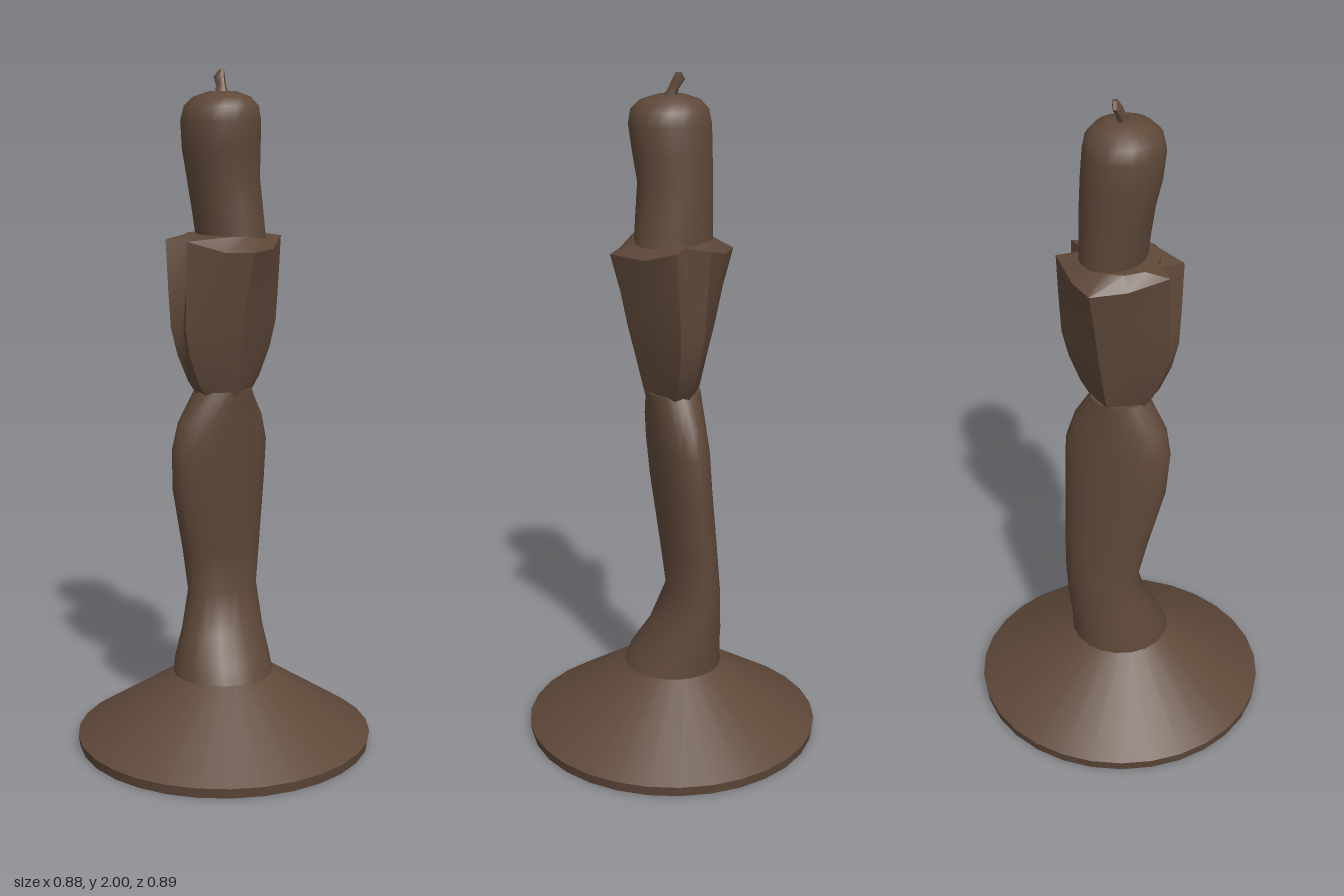
import * as THREE from 'three';
import { toCreasedNormals } from 'three/addons/utils/BufferGeometryUtils.js';

// Closed skin over rings of [x, y, z] points, capped at both ends
function loft(rings, crease = 0.6) {
  const n = rings[0].length;
  const pos = rings.flat(2);
  const index = [];
  for (let r = 0; r < rings.length - 1; r++) {
    for (let i = 0; i < n; i++) {
      const j = (i + 1) % n;
      const a = r * n + i, b = r * n + j;
      index.push(a, a + n, b, b, a + n, b + n);
    }
  }
  const cap = (ring, start, up) => {
    const c = pos.length / 3;
    for (let k = 0; k < 3; k++) pos.push(ring.reduce((s, p) => s + p[k], 0) / n);
    for (let i = 0; i < n; i++) {
      const a = start + i, b = start + (i + 1) % n;
      if (up) index.push(c, b, a); else index.push(c, a, b);
    }
  };
  cap(rings[0], 0, false);
  cap(rings[rings.length - 1], (rings.length - 1) * n, true);
  const g = new THREE.BufferGeometry();
  g.setAttribute('position', new THREE.Float32BufferAttribute(pos, 3));
  g.setIndex(index);
  return toCreasedNormals(g, crease);
}

// Oval ring from its extents in x and z
function oval(y, x0, x1, z0, z1, n) {
  return Array.from({ length: n }, (_, i) => {
    const t = (i / n) * Math.PI * 2;
    return [(x0 + x1) / 2 + Math.cos(t) * (x1 - x0) / 2, y,
      (z0 + z1) / 2 + Math.sin(t) * (z1 - z0) / 2];
  });
}

const ovals = (rows, n) => rows.map((r) => oval(...r, n));

export function createModel() {
  const group = new THREE.Group();
  const bronze = new THREE.MeshStandardMaterial({ color: 0x5e4839 });
  bronze.name = 'dark bronze';
  const add = (name, geometry) => {
    const mesh = new THREE.Mesh(geometry, bronze);
    mesh.name = name;
    group.add(mesh);
  };

  // Shallow conical foot with a thin rim
  add('base', loft(ovals([
    [0.005, -0.435, 0.435, -0.44, 0.44],
    [0.035, -0.44, 0.44, -0.445, 0.445],
    [0.225, -0.14, 0.14, -0.15, 0.15],
  ], 30), 0.4));

  // Leaning, flattened stem with a flared foot and a narrow waist at the top
  add('stem', loft(ovals([
    [0.21, -0.15, 0.15, -0.15, 0.155],
    [0.27, -0.145, 0.122, -0.15, 0.145],
    [0.35, -0.14, 0.07, -0.153, 0.11],
    [0.47, -0.13, 0.022, -0.155, 0.082],
    [0.6, -0.12, 0.033, -0.16, 0.11],
    [0.8, -0.105, 0.05, -0.165, 0.16],
    [0.92, -0.097, 0.06, -0.165, 0.168],
    [1.0, -0.09, 0.067, -0.14, 0.15],
    [1.09, -0.083, 0.075, -0.085, 0.085],
  ], 20), 0.7));

  // Faceted cup: pointed sides, paired corners and a notch front and back
  const outline = [
    [0.175, 0.03], [0.125, 0.095], [0.05, 0.172], [0, 0.165], [-0.05, 0.172], [-0.12, 0.075],
    [-0.185, -0.01], [-0.13, -0.085], [-0.05, -0.172], [0, -0.165], [0.05, -0.172], [0.115, -0.09],
  ];
  const isNotch = (i) => i === 3 || i === 9;
  const cupRows = [ // y, x scale, z scale, notch scale
    [1.08, 0.44, 0.5, 1], [1.12, 0.49, 0.66, 1], [1.2, 0.59, 0.86, 0.98],
    [1.28, 0.7, 0.97, 0.93], [1.39, 0.83, 0.99, 0.84], [1.5, 1, 1, 0.72],
  ];
  const cupRings = cupRows.map(([y, sx, sz, notch], r) => outline.map(([x, z], i) => [
    x * sx,
    // the front and back corners stand higher than the side points
    r === cupRows.length - 1 && Math.abs(x) < 0.1 ? 1.53 : y,
    z * sz * (isNotch(i) ? notch : 1),
  ]));
  cupRings.push(oval(1.54, -0.115, 0.115, -0.115, 0.115, outline.length));
  add('cup', loft(cupRings, 0.55));

  // Slightly bent candle with a rounded top
  add('candle', loft(ovals([
    [1.52, -0.11, 0.118, -0.115, 0.07],
    [1.6, -0.113, 0.11, -0.112, 0.082],
    [1.7, -0.115, 0.098, -0.108, 0.1],
    [1.78, -0.117, 0.108, -0.105, 0.118],
    [1.86, -0.117, 0.118, -0.1, 0.125],
    [1.9, -0.108, 0.112, -0.092, 0.115],
    [1.925, -0.085, 0.088, -0.07, 0.088],
    [1.94, -0.04, 0.04, -0.035, 0.045],
  ], 20), 0.9));

  // Crooked wick
  add('wick', loft(ovals([
    [1.925, -0.018, 0.03, -0.008, 0.035],
    [1.955, -0.022, 0.01, -0.008, 0.02],
    [1.98, -0.04, 0.0, -0.012, 0.015],
    [2.0, -0.026, -0.01, -0.012, 0.002],
  ], 7), 0.8));

  return group;
}
